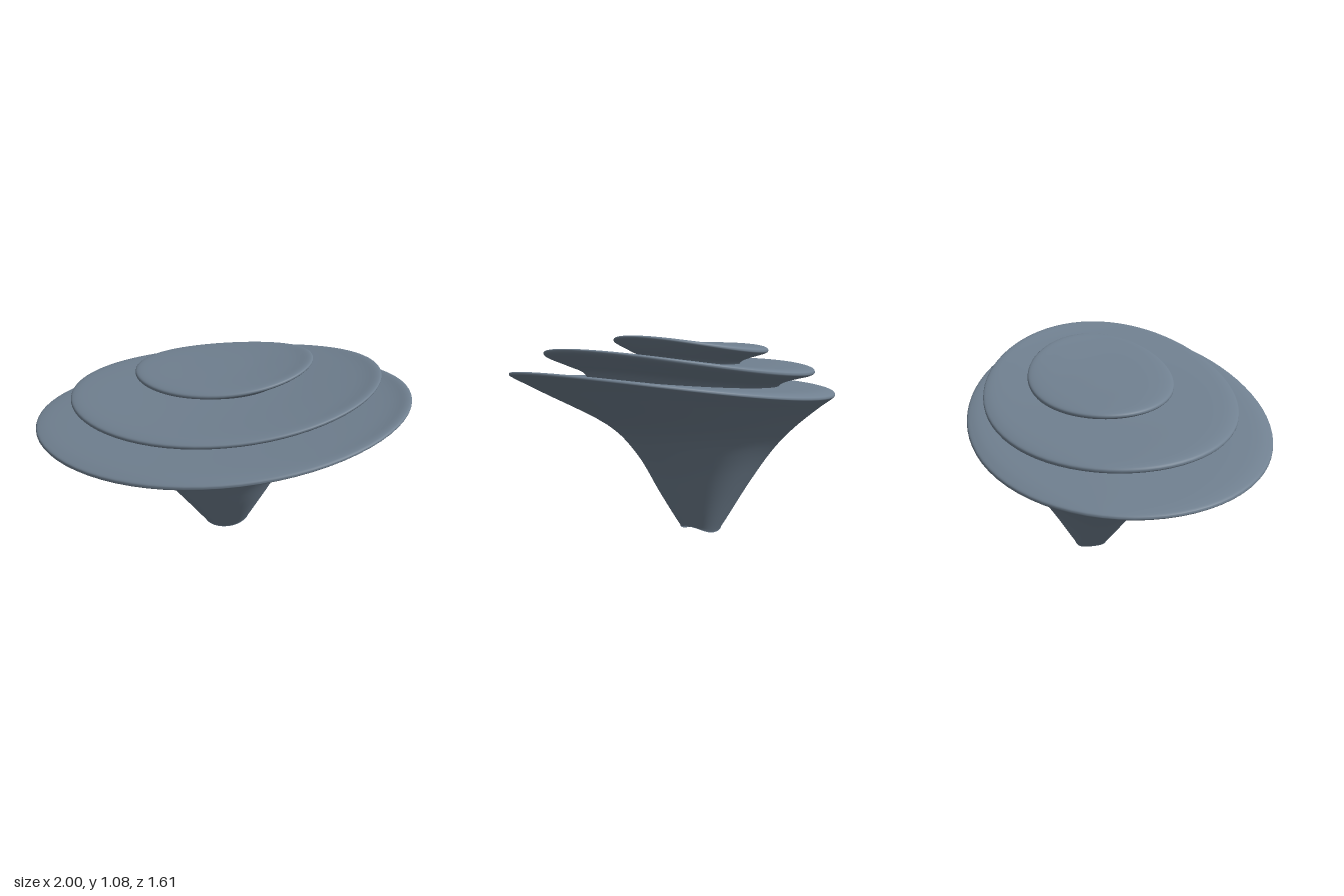
import * as THREE from 'three';

const SEGMENTS = 72;
const STEPS = 5;

// Catmull-Rom blend of one ring value
function blend(a, b, c, d, t) {
  return 0.5 * (2 * b + (c - a) * t + (2 * a - 5 * b + 4 * c - d) * t * t + (3 * b - a - 3 * c + d) * t * t * t);
}

// Each ring: [left x, left y, right x, right y, front z, back z, front/back y, roundness exponent]
function loft(name, rings, material) {
  const smooth = [];
  const at = (i) => rings[Math.min(rings.length - 1, Math.max(0, i))];
  for (let i = 0; i < rings.length - 1; i++) {
    for (let s = 0; s < STEPS; s++) {
      smooth.push(rings[i].map((v, k) => blend(at(i - 1)[k], v, at(i + 1)[k], at(i + 2)[k], s / STEPS)));
    }
  }
  smooth.push(rings[rings.length - 1]);

  const positions = [], index = [];
  smooth.forEach(([xl, yl, xr, yr, zf, zb, ym, p], row) => {
    for (let j = 0; j < SEGMENTS; j++) {
      const a = (j / SEGMENTS) * Math.PI * 2;
      const ca = Math.cos(a), sa = Math.sin(a);
      const c = Math.sign(ca) * Math.abs(ca) ** (2 / p);
      const s = Math.sign(sa) * Math.abs(sa) ** (2 / p);
      // tilted, slightly saddle-shaped ring
      positions.push(
        (xl + xr) / 2 + c * (xr - xl) / 2,
        ym + c * (yr - yl) / 2 + c * c * ((yl + yr) / 2 - ym),
        (zf + zb) / 2 + s * (zf - zb) / 2
      );
      if (row < smooth.length - 1) {
        const here = row * SEGMENTS + j, next = row * SEGMENTS + (j + 1) % SEGMENTS;
        index.push(here, here + SEGMENTS, next, next, here + SEGMENTS, next + SEGMENTS);
      }
    }
  });
  const geometry = new THREE.BufferGeometry();
  geometry.setAttribute('position', new THREE.Float32BufferAttribute(positions, 3));
  geometry.setIndex(index);
  geometry.computeVertexNormals();
  const mesh = new THREE.Mesh(geometry, material);
  mesh.name = name;
  return mesh;
}

export function createModel() {
  const group = new THREE.Group();
  group.name = 'layeredRock';
  const slate = new THREE.MeshStandardMaterial({ color: 0x708090 });
  slate.name = 'slate';

  // flared stem with the widest slab on top
  group.add(loft('stemAndLowerSlab', [
    [0.02, 0.003, 0.02, 0.003, -0.165, -0.165, 0.003, 2.6],
    [-0.1, 0.02, 0.14, 0.045, -0.08, -0.25, 0.003, 2.6],
    [-0.12, 0.035, 0.155, 0.06, -0.07, -0.26, 0.015, 2.6],
    [-0.27, 0.23, 0.245, 0.23, 0.07, -0.375, 0.23, 2.25],
    [-0.44, 0.41, 0.36, 0.43, 0.2, -0.49, 0.43, 2.1],
    [-0.64, 0.55, 0.52, 0.615, 0.36, -0.585, 0.555, 2],
    [-0.89, 0.66, 0.83, 0.815, 0.65, -0.71, 0.68, 2],
    [-0.985, 0.705, 0.975, 0.9, 0.78, -0.79, 0.745, 2],
    [-1, 0.723, 1, 0.918, 0.8, -0.807, 0.765, 2],
    [-0.975, 0.737, 0.975, 0.926, 0.78, -0.787, 0.782, 2],
    [-0.85, 0.75, 0.85, 0.897, 0.68, -0.69, 0.797, 2],
    [-0.45, 0.775, 0.45, 0.845, 0.36, -0.38, 0.803, 2],
    [0, 0.805, 0, 0.805, 0, 0, 0.805, 2],
  ], slate));

  // middle slab
  group.add(loft('middleSlab', [
    [-0.58, 0.74, 0.57, 0.83, 0.42, -0.5, 0.76, 2],
    [-0.61, 0.785, 0.61, 0.9, 0.45, -0.53, 0.81, 2],
    [-0.67, 0.815, 0.69, 0.94, 0.52, -0.6, 0.84, 2],
    [-0.79, 0.842, 0.81, 0.995, 0.607, -0.695, 0.868, 2],
    [-0.812, 0.86, 0.838, 1.02, 0.625, -0.712, 0.885, 2],
    [-0.79, 0.877, 0.815, 1.028, 0.607, -0.695, 0.9, 2],
    [-0.68, 0.885, 0.7, 1.0, 0.52, -0.61, 0.91, 2],
    [-0.35, 0.896, 0.37, 0.948, 0.25, -0.34, 0.914, 2],
    [0.015, 0.916, 0.015, 0.916, -0.045, -0.045, 0.916, 2],
  ], slate));

  // small top slab
  group.add(loft('topSlab', [
    [-0.29, 0.86, 0.28, 0.91, 0.12, -0.31, 0.87, 2],
    [-0.31, 0.907, 0.34, 0.97, 0.14, -0.33, 0.92, 2],
    [-0.36, 0.928, 0.4, 1.0, 0.18, -0.37, 0.945, 2],
    [-0.452, 0.96, 0.465, 1.05, 0.27, -0.46, 0.975, 2],
    [-0.47, 0.978, 0.482, 1.07, 0.286, -0.475, 0.99, 2],
    [-0.45, 0.993, 0.46, 1.077, 0.27, -0.46, 1.005, 2],
    [-0.36, 1.0, 0.37, 1.058, 0.2, -0.39, 1.014, 2],
    [-0.18, 1.008, 0.19, 1.033, 0.05, -0.24, 1.018, 2],
    [0.005, 1.019, 0.005, 1.019, -0.095, -0.095, 1.019, 2],
  ], slate));

  return group;
}
